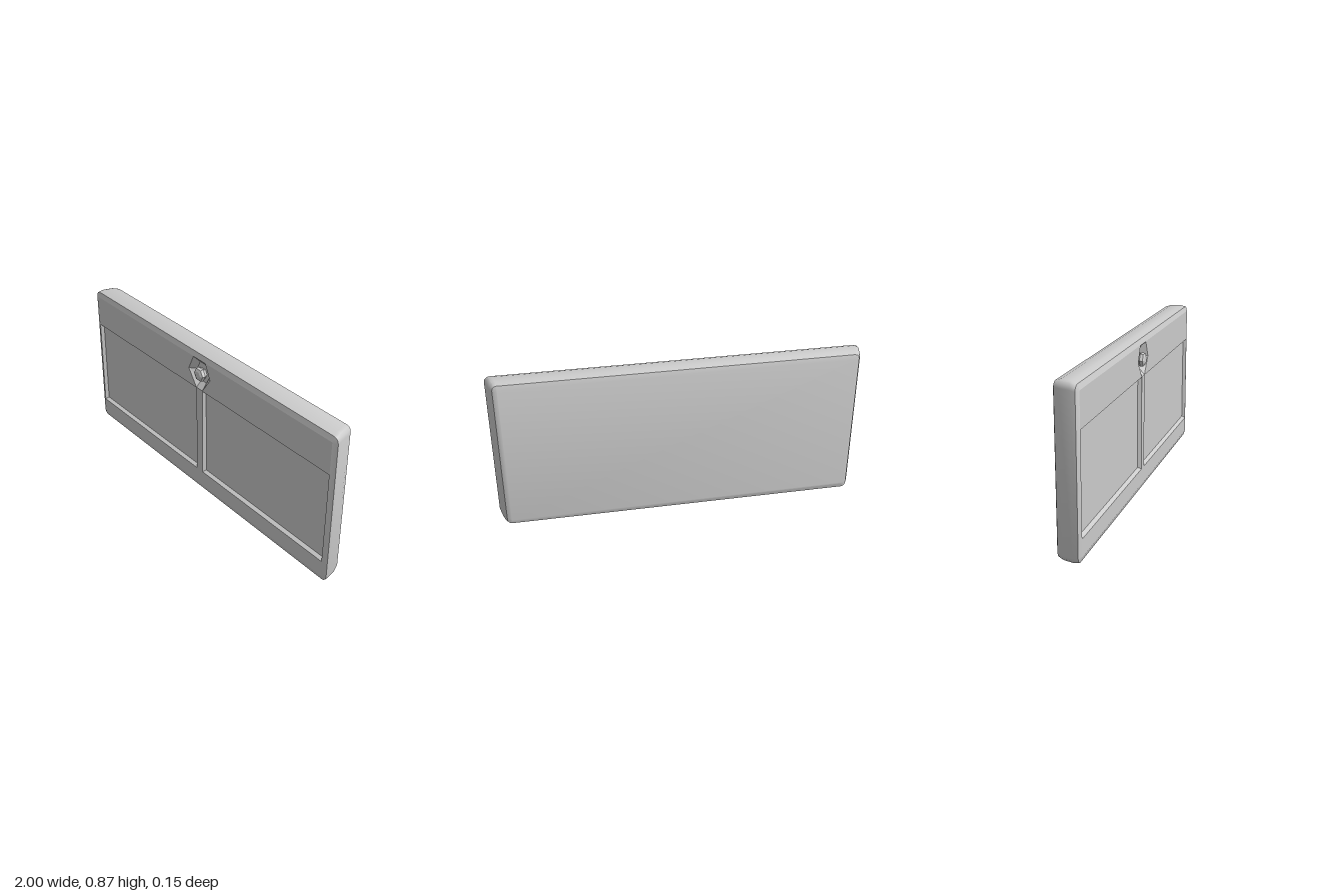
import * as THREE from 'three';
import { toCreasedNormals } from 'three/addons/utils/BufferGeometryUtils.js';

const material = new THREE.MeshStandardMaterial({ color: 0xcccccc });

// Skin a stack of counter-clockwise outlines, with optional end caps.
function loft(rings, capFirst, capLast, crease) {
  const n = rings[0].length;
  const positions = [];
  const tri = (a, b, c) => positions.push(...a, ...b, ...c);
  for (let r = 0; r < rings.length - 1; r++) {
    for (let i = 0; i < n; i++) {
      const j = (i + 1) % n;
      const [a, b, c, d] = [rings[r][i], rings[r][j], rings[r + 1][j], rings[r + 1][i]];
      tri(a, b, c);
      tri(a, c, d);
    }
  }
  const last = rings[rings.length - 1];
  for (let i = 1; i < n - 1; i++) {
    if (capFirst) tri(rings[0][0], rings[0][i + 1], rings[0][i]);
    if (capLast) tri(last[0], last[i], last[i + 1]);
  }
  const geometry = new THREE.BufferGeometry();
  geometry.setAttribute('position', new THREE.Float32BufferAttribute(positions, 3));
  geometry.computeVertexNormals();
  return crease ? toCreasedNormals(geometry, crease) : geometry;
}

const atDepth = (outline, z) => outline.map(([x, y]) => [x, y, z]);

const rect = (x0, x1, y0, y1) => [[x0, y0], [x1, y0], [x1, y1], [x0, y1]];

// Rectangle with rounded corners, counter-clockwise.
function roundedRect(halfWidth, y0, y1, radius) {
  const points = [];
  const steps = 3;
  const corners = [
    [halfWidth - radius, y0 + radius, -Math.PI / 2],
    [halfWidth - radius, y1 - radius, 0],
    [-halfWidth + radius, y1 - radius, Math.PI / 2],
    [-halfWidth + radius, y0 + radius, Math.PI],
  ];
  for (const [cx, cy, start] of corners) {
    for (let k = 0; k <= steps; k++) {
      const a = start + (k / steps) * Math.PI / 2;
      points.push([cx + radius * Math.cos(a), cy + radius * Math.sin(a)]);
    }
  }
  return points;
}

export function createModel() {
  const group = new THREE.Group();
  const add = (name, geometry) => {
    const mesh = new THREE.Mesh(geometry, material);
    mesh.name = name;
    group.add(mesh);
  };

  const height = 0.865;
  const frontZ = 0.06;

  // Casing: z, half width, inset from top and bottom, corner radius
  const sections = [
    [-0.073, 0.945, 0.035, 0.008],
    [-0.065, 0.962, 0.010, 0.025],
    [-0.035, 0.978, 0.000, 0.035],
    [0.020, 0.993, 0.000, 0.035],
    [0.050, 1.000, 0.010, 0.030],
    [frontZ, 0.972, 0.038, 0.004],
  ];
  const rings = sections.map(([z, w, inset, r]) =>
    atDepth(roundedRect(w, inset, height - inset, r), z));
  add('casing', loft(rings, true, false, 0.6));

  // Sunken areas: outline on the front face and smaller outline on the floor
  const bowl = [[-0.025, 0.65], [0.025, 0.65], [0.09, 0.74], [0.05, 0.825], [-0.05, 0.825], [-0.09, 0.74]];
  const bowlFloor = [[-0.022, 0.685], [0.022, 0.685], [0.055, 0.742], [0.03, 0.793], [-0.03, 0.793], [-0.055, 0.742]];
  const recesses = [
    ['leftPanel', rect(0.025, 0.97, 0.128, 0.648), rect(0.033, 0.962, 0.138, 0.64), 0.02],
    ['rightPanel', rect(-0.97, -0.025, 0.128, 0.648), rect(-0.962, -0.033, 0.138, 0.64), 0.02],
    ['latchBowl', bowl, bowlFloor, 0.03],
  ];

  // Front face with openings for the recesses
  const toVectors = (outline) => outline.map(([x, y]) => new THREE.Vector2(x, y));
  const [, frontWidth, frontInset, frontRadius] = sections[sections.length - 1];
  const face = new THREE.Shape(toVectors(
    roundedRect(frontWidth, frontInset, height - frontInset, frontRadius)));
  for (const [name, outline, floor, depth] of recesses) {
    face.holes.push(new THREE.Path(toVectors(outline)));
    add(name, loft([atDepth(outline, frontZ), atDepth(floor, frontZ - depth)], false, true));
  }
  const faceGeometry = new THREE.ShapeGeometry(face);
  faceGeometry.translate(0, 0, frontZ);
  add('frontFace', faceGeometry);

  // Faceted knob: radius and z of each hexagonal section
  const hexagon = (radius) => Array.from({ length: 6 }, (_, i) => {
    const a = i * Math.PI / 3;
    return [radius * Math.cos(a), 0.738 + radius * Math.sin(a)];
  });
  const knob = [[0.028, 0.03], [0.04, 0.05], [0.037, 0.066], [0.022, 0.073]];
  add('knob', loft(knob.map(([r, z]) => atDepth(hexagon(r), z)), false, true));

  return group;
}
